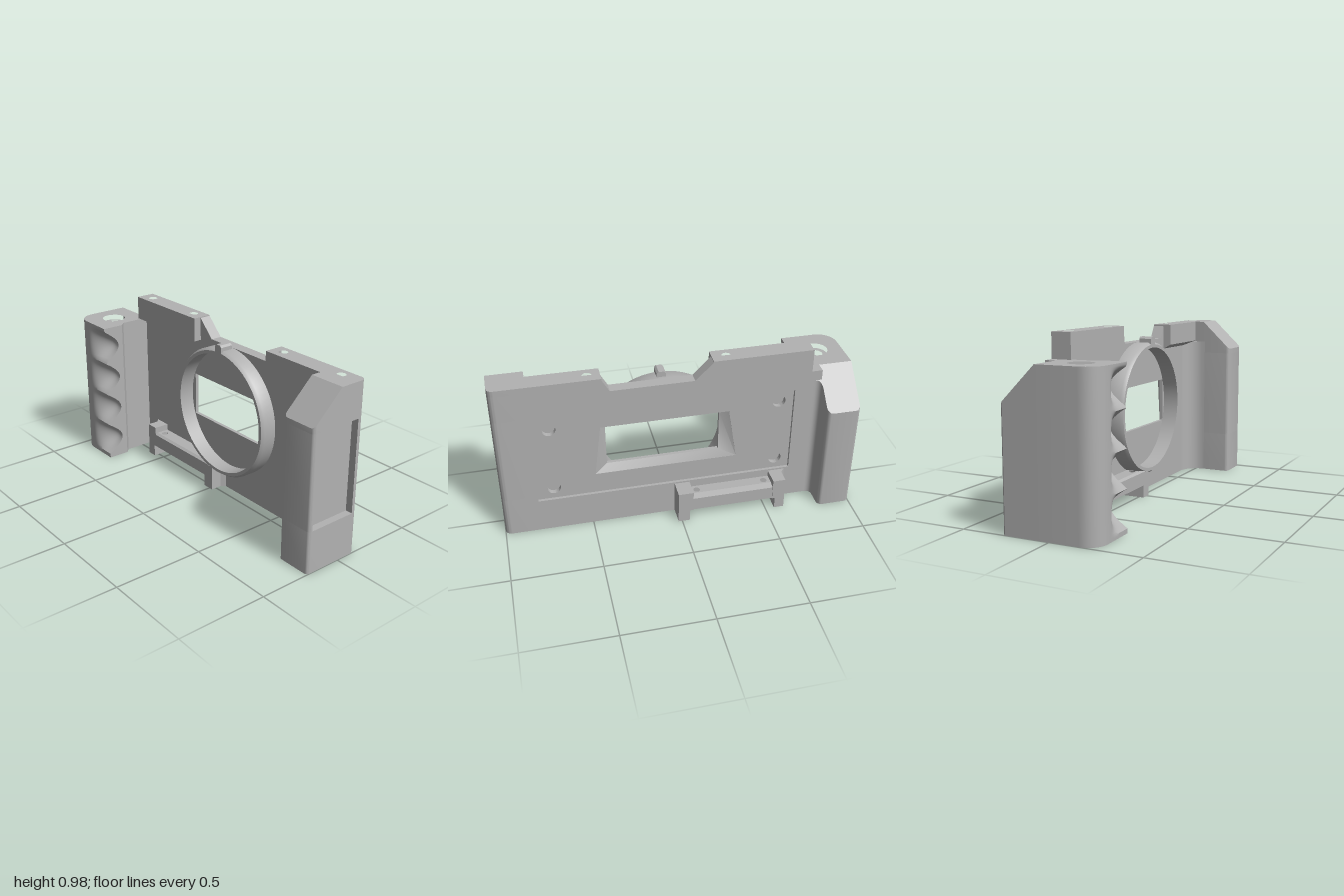
import * as THREE from 'three';
import { toCreasedNormals } from 'three/addons/utils/BufferGeometryUtils.js';

const grey = new THREE.MeshStandardMaterial({ color: 0xb2b2b2 });
grey.name = 'body grey';

const circle = (x, y, r) => new THREE.Path().absarc(x, y, r, 0, Math.PI * 2, true);
const rectPath = (x0, x1, y0, y1) => [[x0, y0], [x1, y0], [x1, y1], [x0, y1]];
const pathOf = pts => new THREE.Path(pts.map(p => new THREE.Vector2(...p)));

// points along a rounded corner
function arc(cx, cy, r, a0, a1, n = 8) {
  return Array.from({ length: n + 1 }, (_, i) => {
    const a = (a0 + (a1 - a0) * i / n) * Math.PI / 180;
    return [cx + r * Math.cos(a), cy + r * Math.sin(a)];
  });
}

function extrude(pts, depth, holes = [], steps = 1) {
  const shape = new THREE.Shape(pts.map(p => new THREE.Vector2(...p)));
  shape.holes = holes;
  return new THREE.ExtrudeGeometry(shape, { depth, steps, bevelEnabled: false, curveSegments: 24 });
}

export function createModel() {
  const model = new THREE.Group();
  model.name = 'cameraBody';

  function add(name, geo) {
    const mesh = new THREE.Mesh(toCreasedNormals(geo, 0.6), grey);
    mesh.name = name;
    model.add(mesh);
    return mesh;
  }
  // outline in (x, y), pushed along z
  const front = (pts, z0, z1, holes) => extrude(pts, z1 - z0, holes).translate(0, 0, z0);
  // outline in (x, z), pushed along y; holes are [x, z, r]
  const plan = (pts, y0, y1, holes = [], steps = 1) =>
    extrude(pts.map(([x, z]) => [x, -z]), y1 - y0, holes.map(([x, z, r]) => circle(x, -z, r)), steps)
      .rotateX(-Math.PI / 2).translate(0, y0, 0);
  // outline in (z, y), pushed along x; holes are [z, y, r]
  const side = (pts, x0, x1, holes = []) =>
    extrude(pts.map(([z, y]) => [-z, y]), x1 - x0, holes.map(([z, y, r]) => circle(-z, y, r)))
      .rotateY(Math.PI / 2).translate(x0, 0, 0);
  // moves every vertex by a rule
  function warp(geo, rule) {
    const p = geo.attributes.position, v = new THREE.Vector3();
    for (let i = 0; i < p.count; i++) {
      v.fromBufferAttribute(p, i);
      rule(v);
      p.setXYZ(i, v.x, v.y, v.z);
    }
    return geo;
  }

  // Main plate in three layers: recessed back, screw layer, front skin
  const outline = [[-0.81, 0], [-0.555, 0], [-0.555, 0.07], [-0.045, 0.07], [-0.045, 0], [0.82, 0],
    [0.82, 0.9], [0.41, 0.9], [0.41, 0.945], [0.37, 0.875], [-0.09, 0.875], [-0.19, 0.975],
    [-0.19, 0.9], [-0.74, 0.9], [-0.74, 0.845], [-0.81, 0.845]];
  const outer = [[-0.34, 0.33], [0.47, 0.33], [0.43, 0.64], [-0.29, 0.64]];
  const inner = rectPath(-0.24, 0.4, 0.375, 0.625);
  const screws = [];
  for (const x of [-0.577, 0.705]) for (const y of [0.273, 0.665]) screws.push(circle(x, y, 0.037));
  add('backFrame', front(outline, -0.125, -0.108, [pathOf(rectPath(-0.66, 0.81, 0.205, 0.735))]));
  add('screwLayer', front(outline, -0.108, -0.08, [pathOf(outer), ...screws]));
  add('frontSkin', front(outline, -0.08, -0.06, [pathOf(inner)]));

  // Sloped surround leading to the film window
  const funnel = new THREE.BufferGeometry();
  const corners = [...outer.map(p => [...p, -0.107]), ...inner.map(p => [...p, -0.08])];
  const faces = [];
  for (let i = 0; i < 4; i++) {
    const j = (i + 1) % 4;
    for (const k of [i, i + 4, j, j, i + 4, j + 4]) faces.push(...corners[k]);
  }
  funnel.setAttribute('position', new THREE.Float32BufferAttribute(faces, 3));
  add('windowSurround', funnel);

  // Lens ring with chamfered rim and index nub
  const profile = [[0.345, -0.065], [0.375, -0.065], [0.375, 0.012], [0.363, 0.03], [0.345, 0.03], [0.345, -0.065]];
  add('lensRing', new THREE.LatheGeometry(profile.map(p => new THREE.Vector2(...p)), 72)
    .rotateX(Math.PI / 2).translate(0.075, 0.5, 0));
  add('indexNub', front([[0.052, 0.86], [0.103, 0.86], [0.103, 0.895], [0.092, 0.906], [0.063, 0.906], [0.052, 0.895]],
    -0.045, 0.03));

  // Top blocks with blind screw holes
  const leftTop = rectPath(-0.75, -0.19, -0.125, -0.015);
  add('rightTopBlock', plan(leftTop, 0.845, 0.945));
  add('rightTopBlockCap', plan(leftTop, 0.945, 0.98, [[-0.67, -0.072, 0.025], [-0.27, -0.072, 0.025]]));
  add('leftTopBlock', side([[-0.125, 0.81], [-0.06, 0.81], [-0.015, 0.835], [-0.015, 0.92], [-0.125, 0.92]], 0.41, 0.805));
  add('leftTopBlockCap', plan(rectPath(0.41, 0.8, -0.125, -0.015), 0.92, 0.955, [[0.48, -0.072, 0.025]]));

  // Side pillar: stacked plan slices with a recessed side panel
  const backCorner = arc(0.965, -0.09, 0.035, -90, 0);
  const frontCorners = [...arc(0.98, 0.195, 0.02, 0, 90, 5), ...arc(0.82, 0.195, 0.02, 90, 180, 5)];
  const full = [[0.8, -0.125], ...backCorner, ...frontCorners];
  const notch = [[1, -0.085], [0.94, -0.085], [0.94, 0.19], [1, 0.19]];
  add('pillarBase', plan(full, 0, 0.24));
  add('pillarMiddle', plan([[0.8, -0.125], ...backCorner, ...notch, ...frontCorners], 0.24, 0.76));
  const rear = [[0.8, -0.125], ...backCorner, [1, 0.04], [0.8, 0.04]];
  add('pillarTop', plan(rear, 0.76, 0.92));
  add('pillarTopCap', plan(rear, 0.92, 0.955, [[0.885, -0.072, 0.025]]));
  add('pillarSlope', warp(plan([[0.8, 0.04], [1, 0.04], ...frontCorners], 0.76, 0.955), v => {
    if (v.y > 0.8) v.y = 0.955 - (v.z - 0.04) * 0.95;
  }));
  const panelHoles = [];
  for (const z of [0.117, -0.014]) for (const y of [0.297, 0.7]) panelHoles.push([z, y, 0.018]);
  add('sidePanel', side(rectPath(-0.085, 0.19, 0.24, 0.76), 0.94, 0.96, panelHoles));
  add('pillarFillet', plan([[0.81, -0.07], [0.69, -0.07], [0.69, -0.06],
    ...arc(0.69, 0.05, 0.11, -90, 0)], 0, 0.83));

  // Hand grip with four finger scoops along its inner front corner
  const frontEdge = Array.from({ length: 15 }, (_, i) => [-0.7 - i * 0.0125, 0.265]);
  const gripPlan = [[-1, -0.065], [-0.73, -0.065], [-0.73, 0.11], [-0.7, 0.14], ...frontEdge,
    ...arc(-0.9, 0.165, 0.1, 90, 180)];
  const grip = plan(gripPlan, 0, 0.845, [[-0.85, 0.1, 0.067]], 68);
  add('fingerGrip', warp(grip, v => {
    if (v.z < 0.26 || v.x < -0.874 || v.y < 0.025 || v.y > 0.825) return;
    const t = Math.min(1, Math.max(0, (v.x + 0.875) / 0.15));
    v.z -= 0.095 * t * t * (3 - 2 * t) * Math.abs(Math.sin((v.y - 0.025) / 0.2 * Math.PI));
  }));
  add('gripBore', plan(arc(-0.85, 0.1, 0.068, 0, 345, 23), 0.03, 0.815, [[-0.85, 0.1, 0.043]]));

  // Thumb side of the grip, sloping down to the back
  const thumb = [[-1, -0.065], [-0.76, -0.065], [-0.76, -0.125], ...arc(-0.775, -0.16, 0.035, 90, 180, 6),
    ...arc(-0.84, -0.235, 0.03, 0, -90, 6), [-0.985, -0.265], [-1, -0.25]];
  add('thumbRest', warp(plan(thumb, 0, 0.845), v => {
    if (v.y > 0.5) v.y = 0.845 + v.z + 0.065;
  }));

  // Accessory cradle along the bottom edge: shelf and two end posts
  const shelfHoles = [];
  for (const x of [-0.5, -0.1]) for (const z of [-0.16, -0.015]) shelfHoles.push([x, z, 0.019]);
  const shelf = rectPath(-0.58, -0.02, -0.187, 0.015);
  add('cradleShelf', plan(shelf, 0.07, 0.158, shelfHoles));
  add('shelfBackLip', side([[-0.187, 0.07], [-0.225, 0.07], [-0.225, 0.148], [-0.187, 0.158]], -0.58, -0.02));
  add('shelfFrontLip', side([[0.015, 0.07], [0.03, 0.07], [0.03, 0.148], [0.015, 0.158]], -0.58, -0.02));
  const post = (x0, x1, z0, z1, h) => plan(rectPath(x0, x1, z0, z1), 0, h);
  add('outerPost', post(-0.61, -0.553, -0.23, 0.03, 0.195));
  add('outerPostLip', plan(rectPath(-0.56, -0.537, -0.23, 0.03), 0.07, 0.195, []));
  add('innerPostBack', post(-0.045, 0.022, -0.23, -0.12, 0.195));
  add('innerPostBackLip', plan(rectPath(-0.065, -0.04, -0.23, -0.12), 0.07, 0.195));
  add('innerPostFront', post(-0.045, 0.022, -0.065, 0.03, 0.145));
  // Small gussets where the posts meet the plate
  add('outerGussetFront', plan([[-0.64, -0.065], [-0.605, -0.065], [-0.605, -0.03]], 0, 0.195));
  add('outerGussetBack', plan([[-0.64, -0.12], [-0.605, -0.12], [-0.605, -0.155]], 0, 0.195));
  add('innerGussetFront', plan([[0.045, -0.065], [0.018, -0.065], [0.018, -0.03]], 0, 0.135));

  return model;
}
